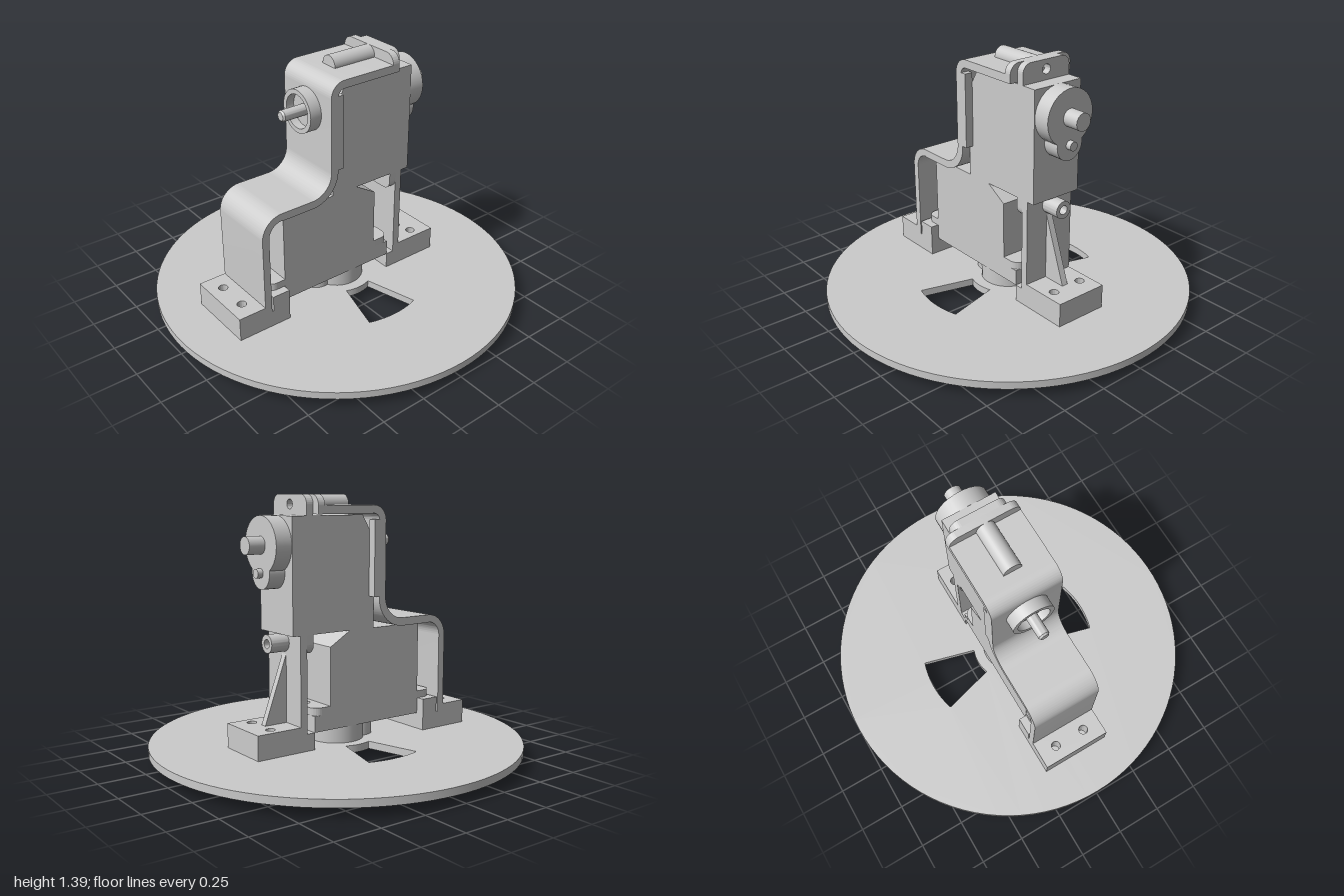
import * as THREE from 'three';
import { toCreasedNormals } from 'three/addons/utils/BufferGeometryUtils.js';

const mat = new THREE.MeshStandardMaterial({ color: 0xcccccc });

function add(parent, name, geo) {
  const mesh = new THREE.Mesh(geo, mat);
  mesh.name = name;
  parent.add(mesh);
  return mesh;
}

// Box given by its limits on each axis
function box(parent, name, x0, x1, y0, y1, z0, z1) {
  const geo = new THREE.BoxGeometry(x1 - x0, y1 - y0, z1 - z0);
  return add(parent, name, geo.translate((x0 + x1) / 2, (y0 + y1) / 2, (z0 + z1) / 2));
}

function extrude(shape, depth) {
  const geo = new THREE.ExtrudeGeometry(shape, { depth, bevelEnabled: false, curveSegments: 24 });
  return toCreasedNormals(geo, 0.5);
}

// Profile in x/y, extruded symmetrically in z
function sideProfile(parent, name, shape, halfWidth) {
  return add(parent, name, extrude(shape, 2 * halfWidth).translate(0, 0, -halfWidth));
}

// Plan shape extruded upwards from y0 to y1
function slab(parent, name, shape, y0, y1) {
  return add(parent, name, extrude(shape, y1 - y0).rotateX(-Math.PI / 2).translate(0, y0, 0));
}

function polygon(points) {
  return new THREE.Shape(points.map(([x, y]) => new THREE.Vector2(x, y)));
}

function circleHole(shape, x, y, r) {
  shape.holes.push(new THREE.Path().absarc(x, y, r, 0, Math.PI * 2, true));
}

function rectangle(x0, x1, halfZ) {
  return polygon([[x0, -halfZ], [x1, -halfZ], [x1, halfZ], [x0, halfZ]]);
}

// Flat ear along +x with two rounded outer corners and a screw hole
function earShape(x0, x1, halfZ, r, holeX) {
  const s = new THREE.Shape();
  s.moveTo(x0, -halfZ).lineTo(x1 - r, -halfZ);
  s.absarc(x1 - r, -halfZ + r, r, -Math.PI / 2, 0, false);
  s.absarc(x1 - r, halfZ - r, r, 0, Math.PI / 2, false);
  s.lineTo(x0, halfZ);
  circleHole(s, holeX, 0, 0.025);
  return s;
}

// Vertical cylinder from y0 to y1
function post(parent, name, x, y0, y1, r) {
  return add(parent, name, new THREE.CylinderGeometry(r, r, y1 - y0, 32).translate(x, (y0 + y1) / 2, 0));
}

// Small motor: gear face on y = 0, output shaft pointing down
function motor(name) {
  const g = new THREE.Group();
  g.name = name;
  sideProfile(g, 'motorBody', polygon([
    [-0.45, 0], [0.145, 0], [0.145, 0.435], [0.02, 0.51], [-0.45, 0.51],
  ]), 0.15);
  const rightEar = earShape(0.14, 0.25, 0.15, 0.05, 0.2);
  slab(g, 'mountingEar', rightEar, 0.085, 0.125);
  const leftEar = slab(g, 'mountingEar', earShape(0.14, 0.25, 0.15, 0.05, 0.2), 0.085, 0.125);
  leftEar.rotation.y = Math.PI;
  leftEar.position.x = -0.3;
  post(g, 'gearHousing', 0, -0.09, 0, 0.147);
  post(g, 'idlerHousing', -0.14, -0.09, 0, 0.082);
  post(g, 'outputShaft', 0, -0.18, -0.09, 0.046);
  post(g, 'idlerPin', -0.14, -0.12, -0.09, 0.024);
  return g;
}

// Turntable with two sector windows and clearance holes for the shaft
function turntable(parent) {
  const s = new THREE.Shape().absarc(0, 0, 1, 0, Math.PI * 2, false);
  s.curves.length && circleHole(s, 0, 0, 0.095);
  circleHole(s, -0.14, 0, 0.035);
  for (const a of [Math.PI / 2, -Math.PI / 2]) {
    const p = new THREE.Path();
    p.absarc(0, 0, 0.505, a - 0.312, a + 0.312, false);
    p.absarc(0, 0, 0.205, a + 0.38, a - 0.38, true);
    p.closePath();
    s.holes.push(p);
  }
  const geo = new THREE.ExtrudeGeometry(s, { depth: 0.04, bevelEnabled: false, curveSegments: 48 });
  add(parent, 'turntable', toCreasedNormals(geo, 0.5).rotateX(-Math.PI / 2).translate(0, 0.05, 0));
}

// Bent strap carrying the upper motor
function strap(parent) {
  const P = Math.PI;
  const s = new THREE.Shape();
  s.moveTo(-0.605, 0.18);
  s.lineTo(-0.605, 0.615);
  s.absarc(-0.485, 0.615, 0.12, P, P / 2, true);
  s.lineTo(-0.3, 0.735);
  s.absarc(-0.3, 0.855, 0.12, -P / 2, 0, false);
  s.lineTo(-0.18, 1.255);
  s.absarc(-0.1, 1.255, 0.08, P, P / 2, true);
  s.lineTo(0.25, 1.335);
  s.lineTo(0.25, 1.292);
  s.lineTo(-0.1, 1.292);
  s.absarc(-0.1, 1.255, 0.037, P / 2, P, false);
  s.lineTo(-0.137, 0.855);
  s.absarc(-0.3, 0.855, 0.163, 0, -P / 2, true);
  s.lineTo(-0.485, 0.692);
  s.absarc(-0.485, 0.615, 0.08, P / 2, P, false);
  s.lineTo(-0.565, 0.18);
  sideProfile(parent, 'strap', s, 0.195);

  // Side lips that hold the motor
  for (const z of [-0.172, 0.172]) {
    box(parent, 'strapLip', -0.14, -0.105, 0.86, 1.26, z - 0.023, z + 0.023);
  }

  // Upright end plate with rounded corners, and the screw ridge behind it
  const plate = slab(parent, 'endPlate', earShape(1.292, 1.39, 0.195, 0.055, 1.34), 0, 0.04);
  plate.rotation.z = Math.PI / 2;
  plate.position.x = 0.25;
  const ridge = new THREE.CylinderGeometry(0.05, 0.05, 0.255, 32);
  add(parent, 'screwRidge', ridge.rotateZ(Math.PI / 2).translate(0.0825, 1.34, 0));

  // Hollow hub with pivot pin opposite the output shaft
  const profile = [
    [0.115, 0.175], [0.115, 0.245], [0.09, 0.245], [0.09, 0.2], [0.03, 0.2],
    [0.03, 0.335], [0.022, 0.345], [0, 0.345],
  ].map(([r, h]) => new THREE.Vector2(r, h));
  const hub = toCreasedNormals(new THREE.LatheGeometry(profile, 40), 0.5);
  add(parent, 'pivotHub', hub.rotateZ(Math.PI / 2).translate(0, 1.142, 0));
}

// Left foot, split by a narrow slit beside the strap
function leftFoot(parent) {
  const bottom = rectangle(-0.76, -0.455, 0.195);
  const top = rectangle(-0.76, -0.565, 0.195);
  for (const s of [bottom, top]) {
    for (const z of [-0.09, 0.09]) circleHole(s, -0.68, z, 0.025);
  }
  slab(parent, 'leftFootBase', bottom, 0.09, 0.18);
  slab(parent, 'leftFootTop', top, 0.18, 0.22);
  box(parent, 'leftEarRest', -0.555, -0.455, 0.18, 0.265, -0.195, 0.195);
}

// Right foot with wall, gusset and screw tube
function rightFoot(parent) {
  const bottom = rectangle(0.245, 0.585, 0.15);
  const top = rectangle(0.33, 0.585, 0.15);
  for (const s of [bottom, top]) {
    for (const z of [-0.09, 0.09]) circleHole(s, 0.475, z, 0.025);
  }
  slab(parent, 'rightFootBase', bottom, 0.09, 0.18);
  slab(parent, 'rightFootTop', top, 0.18, 0.22);
  box(parent, 'rightEarRest', 0.14, 0.245, 0.18, 0.265, -0.15, 0.15);
  box(parent, 'supportWall', 0.29, 0.33, 0.18, 0.69, -0.15, 0.15);
  sideProfile(parent, 'gusset', polygon([[0.33, 0.22], [0.46, 0.22], [0.33, 0.58]]), 0.018);
  const ring = new THREE.Shape().absarc(0, 0, 0.048, 0, Math.PI * 2, false);
  circleHole(ring, 0, 0, 0.024);
  add(parent, 'screwTube', extrude(ring, 0.105).rotateY(Math.PI / 2).translate(0.33, 0.64, 0));
}

export function createModel() {
  const model = new THREE.Group();
  model.name = 'panTiltMount';
  turntable(model);

  const panMotor = motor('panMotor');
  panMotor.position.set(0, 0.18, 0);
  const tiltMotor = motor('tiltMotor');
  tiltMotor.rotation.z = Math.PI / 2;
  tiltMotor.position.set(0.375, 1.14, 0);
  model.add(panMotor, tiltMotor);

  strap(model);
  leftFoot(model);
  rightFoot(model);
  return model;
}
